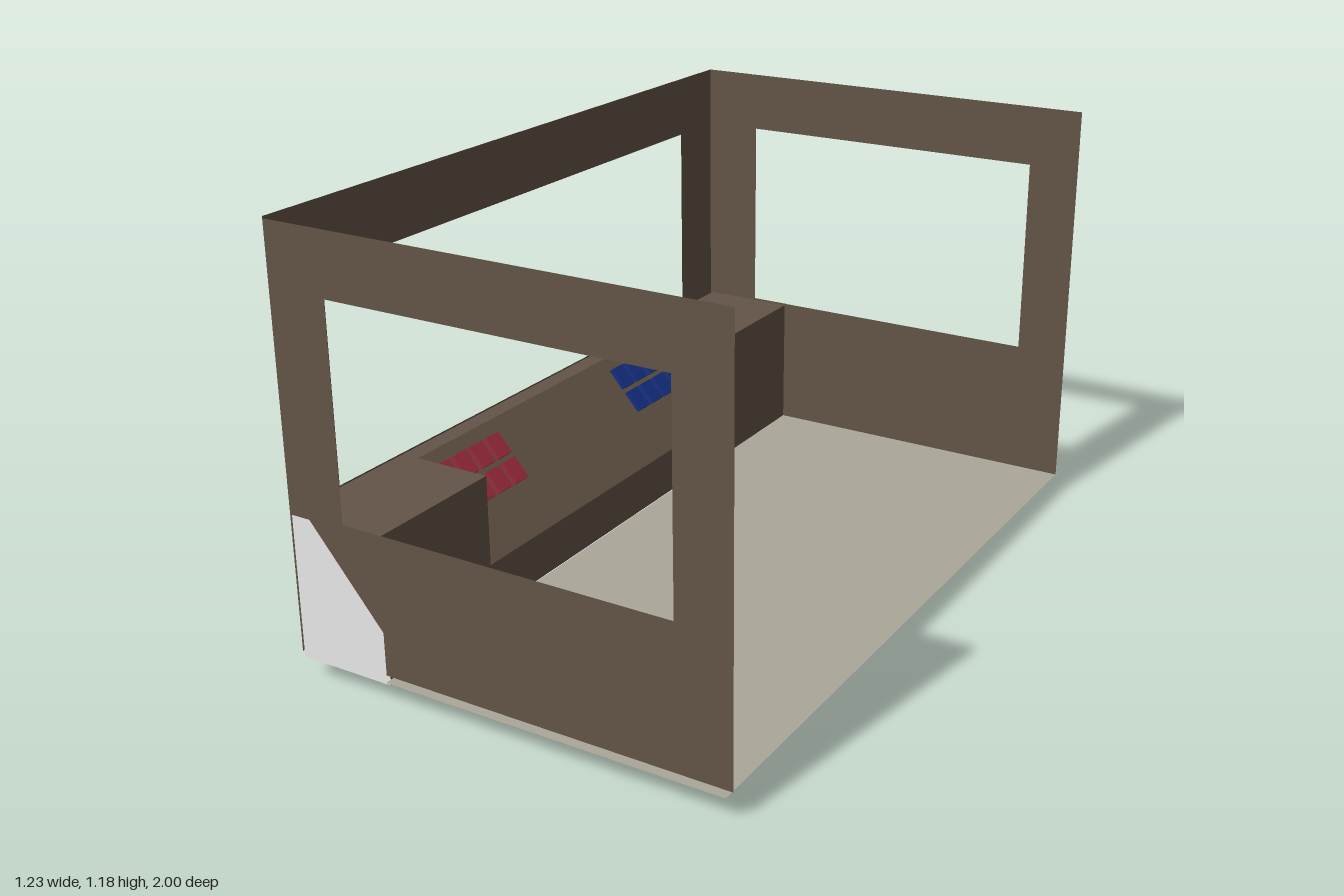
import * as THREE from 'three';

const mat = (name, color, side = THREE.FrontSide) => {
  const m = new THREE.MeshStandardMaterial({ color, side });
  m.name = name;
  return m;
};

export function createModel() {
  const model = new THREE.Group();
  model.name = 'controlCabin';

  const brown = mat('brown panel', 0x635447, THREE.DoubleSide);
  const white = mat('white shell', 0xf0f0f0, THREE.DoubleSide);
  const floorGrey = mat('floor grey', 0xaba798, THREE.DoubleSide);
  const red = mat('red button', 0x9a2a3c);
  const blue = mat('blue button', 0x142f82);

  const add = (name, geometry, material, x = 0, y = 0, z = 0) => {
    const mesh = new THREE.Mesh(geometry, material);
    mesh.name = name;
    mesh.position.set(x, y, z);
    model.add(mesh);
    return mesh;
  };

  const polygon = (points) => new THREE.Shape(points.map(([x, y]) => new THREE.Vector2(x, y)));
  const rect = (x0, y0, x1, y1) => [[x0, y0], [x1, y0], [x1, y1], [x0, y1]];

  // Thin wall with a window opening
  const wall = (outer, opening) => {
    const shape = polygon(rect(...outer));
    shape.holes.push(polygon(rect(...opening)));
    return new THREE.ShapeGeometry(shape);
  };

  add('frontWall', wall([-0.617, 0.08, 0.617, 1.18], [-0.45, 0.455, 0.47, 1.015]), brown, 0, 0, 0.988);
  add('backWall', wall([-0.617, 0.067, 0.605, 1.185], [-0.45, 0.455, 0.46, 1.015]), brown, 0, 0, -0.985);
  const sideWall = add('sideWall', wall([-0.988, 0.07, 0.985, 1.185], [-0.812, 0.45, 0.807, 1.012]), brown, -0.617);
  sideWall.rotation.y = Math.PI / 2;

  // Floor sheet
  const floor = add('floor', new THREE.PlaneGeometry(0.945, 2), floorGrey, 0.1325, 0.068, 0);
  floor.rotation.x = -Math.PI / 2;

  // Console end blocks: brown inside, white on the outer and lower faces
  const endBlock = (name, y0, z0, z1, materials) => {
    const geometry = new THREE.BoxGeometry(0.27, 0.45 - y0, z1 - z0);
    add(name, geometry, materials, -0.475, (0.45 + y0) / 2, (z0 + z1) / 2);
  };
  endBlock('frontConsoleBlock', 0.053, 0.58, 0.983, [brown, white, brown, white, white, brown]);
  endBlock('backConsoleBlock', 0, -1, -0.567, [brown, white, brown, white, brown, white]);

  // Sloped control desk between the blocks
  const desk = polygon([[-0.61, 0.07], [-0.34, 0.07], [-0.34, 0.2], [-0.56, 0.45], [-0.61, 0.45]]);
  add('controlDesk', new THREE.ExtrudeGeometry(desk, { depth: 1.147, bevelEnabled: false }), brown, 0, 0, -0.567);
  const under = add('deskUnderside', new THREE.PlaneGeometry(0.27, 1.147), white, -0.475, 0.067, 0.0065);
  under.rotation.x = Math.PI / 2;

  // White corner plate on the front wall
  const plate = polygon([[-0.605, 0.06], [-0.342, 0.06], [-0.342, 0.2], [-0.55, 0.447], [-0.605, 0.447]]);
  add('frontCornerPlate', new THREE.ShapeGeometry(plate), white, 0, 0, 0.994);

  // Button banks: two rows of four on the slope
  const slope = Math.atan2(0.25, 0.22);
  const button = new THREE.BoxGeometry(0.066, 0.024, 0.054);
  const bank = (name, material, firstZ) => {
    for (const y of [0.335, 0.395]) {
      for (let i = 0; i < 4; i++) {
        const x = -0.56 + (0.45 - y) * 0.88;
        add(name, button, material, x, y, firstZ + i * 0.07).rotation.z = -slope;
      }
    }
  };
  bank('redButton', red, 0.317);
  bank('blueButton', blue, -0.5);

  return model;
}
